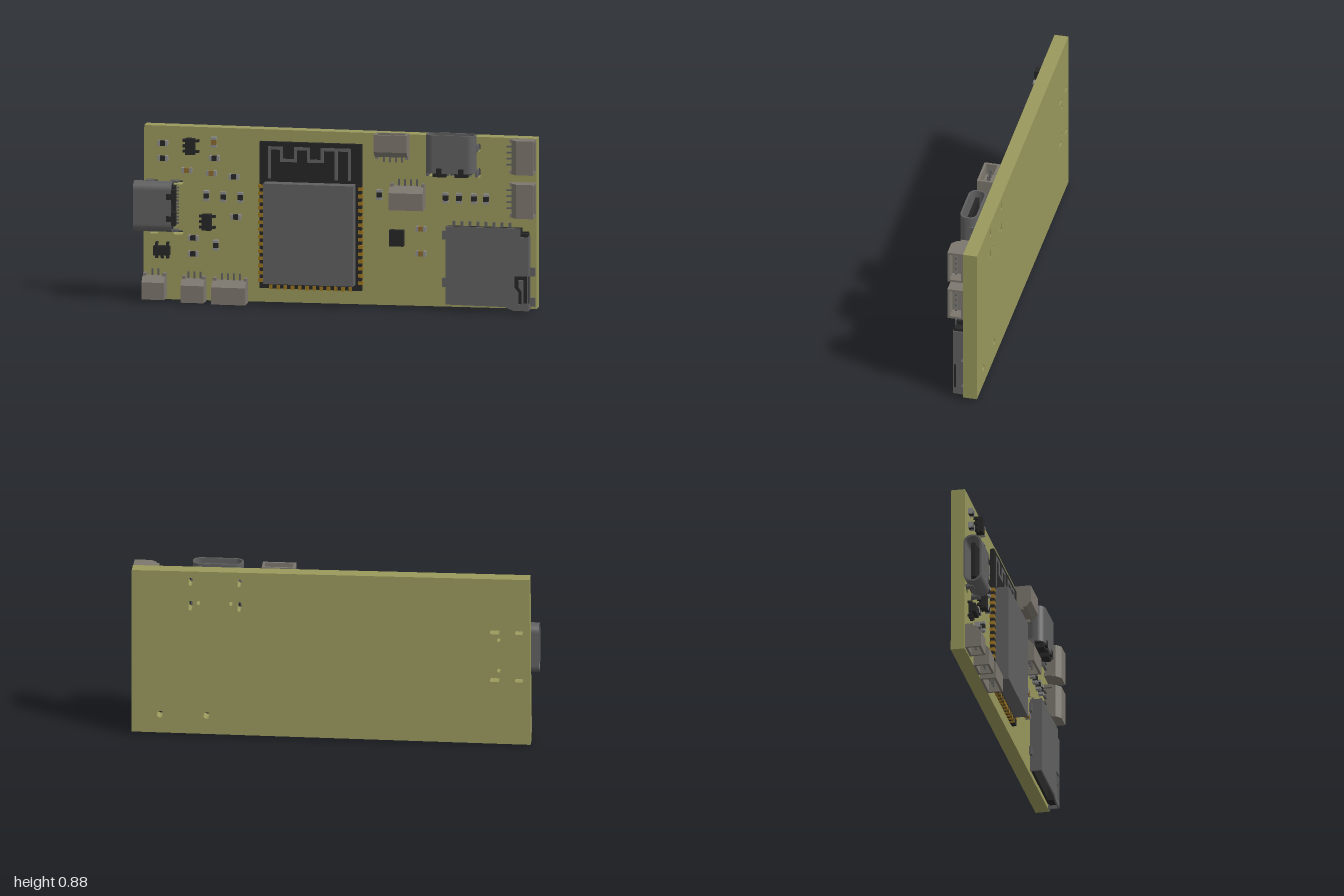
import * as THREE from 'three';

const mat = (color) => new THREE.MeshStandardMaterial({ color, flatShading: true });
const M = {
  board: mat(0x98985c), metal: mat(0x606060), black: mat(0x262626),
  plastic: mat(0x7c776e), gold: mat(0x9a7420), brown: mat(0x8a6a30), grey: mat(0x8c8c8c),
};
const FACE = -0.01; // z of the board's front surface

function mesh(parent, name, geo, material) {
  const m = new THREE.Mesh(geo, material);
  m.name = name;
  parent.add(m);
  return m;
}
// box from its limits
function box(parent, name, material, x0, x1, y0, y1, z0, z1) {
  const g = new THREE.BoxGeometry(x1 - x0, y1 - y0, z1 - z0);
  g.translate((x0 + x1) / 2, (y0 + y1) / 2, (z0 + z1) / 2);
  return mesh(parent, name, g, material);
}
function group(parent, name, x = 0, y = 0, turn = 0) {
  const g = new THREE.Group();
  g.name = name;
  g.position.set(x, y, 0);
  g.rotation.z = turn;
  parent.add(g);
  return g;
}
const poly = (pts) => new THREE.Shape(pts.map(([x, y]) => new THREE.Vector2(x, y)));
const extrude = (shape, depth, curveSegments = 8) =>
  new THREE.ExtrudeGeometry(shape, { depth, bevelEnabled: false, curveSegments });
// shape in (x, z), swept along y from y0 to y1
const sweepY = (shape, y0, y1) => extrude(shape, y1 - y0).rotateX(Math.PI / 2).translate(0, y1, 0);

// rounded slot outline, h is the full height and r the corner radius
function rounded(C, x, y, w, h, r) {
  const s = new C(), a = w / 2 - r, b = h / 2 - r;
  s.absarc(x + a, y + b, r, 0, Math.PI / 2);
  s.absarc(x - a, y + b, r, Math.PI / 2, Math.PI);
  s.absarc(x - a, y - b, r, Math.PI, 1.5 * Math.PI);
  s.absarc(x + a, y - b, r, 1.5 * Math.PI, 2 * Math.PI);
  s.closePath();
  return s;
}

function addBoard(root) {
  const s = poly([[-0.965, 0.005], [1, 0.015], [1, 0.863], [-0.96, 0.87]]);
  const holes = [ // x, y, width, height
    [0.71, 0.81, 0.02, 0.042], [0.71, 0.685, 0.02, 0.05], [0.47, 0.81, 0.02, 0.042], [0.47, 0.685, 0.02, 0.05],
    [0.67, 0.7, 0.02, 0.02], [0.51, 0.7, 0.02, 0.02], [-0.79, 0.59, 0.05, 0.02], [-0.91, 0.59, 0.042, 0.02],
    [-0.79, 0.34, 0.05, 0.02], [-0.91, 0.34, 0.042, 0.02], [-0.81, 0.55, 0.02, 0.02], [-0.81, 0.39, 0.02, 0.02],
    [0.86, 0.11, 0.034, 0.034], [0.63, 0.11, 0.034, 0.034],
  ];
  for (const [x, y, w, h] of holes) s.holes.push(rounded(THREE.Path, x, y, w, h, Math.min(w, h) / 2 - 0.0005));
  mesh(root, 'circuitBoard', extrude(s, 0.07, 4).translate(0, 0, -0.08), M.board);
}

function addRadioModule(root) {
  const g = group(root, 'radioModule');
  box(g, 'modulePlate', M.black, -0.38, 0.13, 0.08, 0.81, FACE, 0.012);
  box(g, 'shieldCan', M.metal, -0.35, 0.10, 0.112, 0.612, 0.012, 0.078);
  // antenna trace as a chain of thin strips
  const path = [[-0.33, 0.635], [-0.33, 0.78], [-0.27, 0.78], [-0.27, 0.72], [-0.2, 0.72], [-0.2, 0.78],
    [-0.135, 0.78], [-0.135, 0.72], [-0.067, 0.72], [-0.067, 0.78], [0.07, 0.78], [0.07, 0.635]];
  const strip = ([ax, ay], [bx, by]) => box(g, 'antennaTrace', M.metal, Math.min(ax, bx) - 0.008,
    Math.max(ax, bx) + 0.008, Math.min(ay, by) - 0.008, Math.max(ay, by) + 0.008, 0.01, 0.014);
  for (let i = 1; i < path.length; i++) strip(path[i - 1], path[i]);
  strip([0.003, 0.635], [0.003, 0.78]);
  // edge pads
  for (let i = 0; i < 14; i++) {
    const y = 0.12 + i * 0.036;
    box(g, 'edgePad', M.gold, -0.386, -0.362, y - 0.009, y + 0.009, FACE, 0.014);
    box(g, 'edgePad', M.gold, 0.112, 0.136, y - 0.009, y + 0.009, FACE, 0.014);
  }
  for (let i = 0; i < 12; i++) {
    const x = -0.323 + i * 0.036;
    box(g, 'edgePad', M.gold, x - 0.009, x + 0.009, 0.076, 0.098, FACE, 0.014);
  }
}

// oval port, mouth at local y = 0 facing -y
function addOvalPort(root, x, y, turn) {
  const g = group(root, 'ovalPort', x, y, turn), d = 0.19, zc = 0.036;
  const shell = rounded(THREE.Shape, 0, zc, 0.25, 0.09, 0.04);
  shell.holes.push(rounded(THREE.Path, 0, zc, 0.232, 0.072, 0.032));
  mesh(g, 'portShell', sweepY(shell, 0, d), M.metal);
  mesh(g, 'portBack', sweepY(rounded(THREE.Shape, 0, zc, 0.233, 0.073, 0.032), 0.14, d - 0.002), M.black);
  box(g, 'portTongue', M.black, -0.09, 0.09, 0.02, 0.15, 0.026, 0.046);
  box(g, 'portBase', M.black, -0.1, 0.1, 0.15, 0.2, FACE, 0.03);
  for (const s of [-1, 1]) {
    const a = s * 0.055;
    box(g, 'rearLatch', M.black, a - 0.032, a + 0.032, d - 0.004, 0.21, 0.035, 0.07);
    box(g, 'latchWindow', M.black, a - 0.014, a + 0.014, 0.165, 0.195, 0.06, 0.0825);
    for (const ly of [0.07, 0.195]) box(g, 'shellLeg', M.metal, s * 0.122 - 0.006, s * 0.122 + 0.006, ly - 0.018, ly + 0.018, -0.03, 0.03);
  }
  for (let i = 0; i < 12; i++) {
    const px = -0.088 + i * 0.016;
    box(g, 'portPin', M.metal, px - 0.004, px + 0.004, 0.19, 0.214, FACE, -0.003);
  }
}

// wire socket, mouth at local y = 0 facing -y
function addSocket(root, x, y, turn, w, pins) {
  const g = group(root, 'wireSocket', x, y, turn), h = w / 2, t = 0.012, top = 0.07;
  const wall = poly([[-h, FACE], [h, FACE], [h, top], [-h, top]]);
  wall.holes.push(poly([[-h + t, FACE + t], [-h + t, top - t], [h - t, top - t], [h - t, FACE + t]]));
  mesh(g, 'socketWall', sweepY(wall, 0, 0.07), M.plastic);
  // rear block with a sloped shoulder, profile in (z, y) turned to run along x
  const rear = poly([[FACE, 0.06], [top, 0.06], [top, 0.085], [0.045, 0.112], [FACE, 0.112]]);
  const geo = extrude(rear, w);
  geo.applyMatrix4(new THREE.Matrix4().set(0, 0, 1, -h, 0, 1, 0, 0, 1, 0, 0, 0, 0, 0, 0, 1));
  // the axis swap mirrors the solid, so turn each face over
  const p = geo.attributes.position;
  for (let i = 0; i < p.count; i += 3) {
    const a = new THREE.Vector3().fromBufferAttribute(p, i), b = new THREE.Vector3().fromBufferAttribute(p, i + 2);
    p.setXYZ(i, b.x, b.y, b.z);
    p.setXYZ(i + 2, a.x, a.y, a.z);
  }
  geo.computeVertexNormals();
  mesh(g, 'socketRear', geo, M.plastic);
  for (const s of [-1, 1]) box(g, 'socketEar', M.plastic, s * (h - 0.008) - 0.008, s * (h - 0.008) + 0.008, 0.1, 0.126, FACE, 0.03);
  for (let i = 0; i < pins; i++) {
    const px = (i - (pins - 1) / 2) * 0.03;
    box(g, 'socketPin', M.metal, px - 0.004, px + 0.004, 0.015, 0.07, 0.026, 0.034);
    box(g, 'socketLead', M.metal, px - 0.004, px + 0.004, 0.105, 0.145, FACE, 0.002);
  }
}

function addCardSlot(root) {
  const g = group(root, 'cardSlot');
  const cover = poly([[0.555, 0.033], [0.85, 0.03], [0.895, 0.012], [0.97, 0.012], [0.97, 0.38], [0.93, 0.38], [0.93, 0.423], [0.555, 0.423]]);
  cover.holes.push(poly([[0.9, 0.185], [0.965, 0.185], [0.965, 0.05], [0.945, 0.05], [0.945, 0.165],
    [0.92, 0.165], [0.92, 0.13], [0.935, 0.11], [0.935, 0.045], [0.92, 0.045], [0.92, 0.1], [0.9, 0.125]]));
  mesh(g, 'slotCover', extrude(cover, 0.008).translate(0, 0, 0.04), M.metal);
  box(g, 'leftWall', M.metal, 0.555, 0.563, 0.033, 0.42, FACE, 0.041);
  box(g, 'rightWall', M.metal, 0.962, 0.97, 0.012, 0.38, FACE, 0.041);
  box(g, 'wallSlit', M.black, 0.965, 0.972, 0.05, 0.185, 0.033, 0.043);
  box(g, 'slotFloor', M.black, 0.563, 0.962, 0.04, 0.4, FACE, 0.002);
  box(g, 'slotRear', M.black, 0.56, 0.93, 0.36, 0.418, FACE, 0.04);
  box(g, 'slotCorner', M.black, 0.92, 0.965, 0.35, 0.395, FACE, 0.043);
  box(g, 'ejectSlider', M.black, 0.9, 0.962, 0.03, 0.36, 0, 0.034);
  for (const [x0, x1, y] of [[0.53, 0.56, 0.135], [0.53, 0.56, 0.37], [0.965, 0.995, 0.05], [0.965, 0.995, 0.2]])
    box(g, 'solderTab', M.metal, x0, x1, y - 0.022, y + 0.022, FACE, 0.002);
  for (let i = 0; i < 8; i++) box(g, 'slotContact', M.metal, 0.582 + i * 0.04, 0.594 + i * 0.04, 0.41, 0.442, FACE, 0);
}

// two-terminal part: dark or brown middle with pale ends
function addPassive(root, x, y, upright, middle) {
  const g = group(root, 'smallPart', x, y, upright ? Math.PI / 2 : 0);
  box(g, 'partBody', middle, -0.014, 0.014, -0.012, 0.012, FACE, 0.013);
  for (const s of [-1, 1]) box(g, 'partEnd', M.grey, s * 0.019 - 0.006, s * 0.019 + 0.006, -0.0135, 0.0135, FACE, 0.0145);
}

function addSmallChip(root, x, y, turn) {
  const g = group(root, 'smallChip', x, y, turn);
  box(g, 'chipBody', M.black, -0.023, 0.023, -0.04, 0.04, -0.004, 0.032);
  for (const s of [-1, 1]) for (const ly of s < 0 ? [-0.027, 0, 0.027] : [-0.027, 0.027]) {
    box(g, 'chipLeg', M.black, s * 0.03 - 0.009, s * 0.03 + 0.009, ly - 0.006, ly + 0.006, -0.002, 0.012);
    box(g, 'chipFoot', M.black, s * 0.036 - 0.005, s * 0.036 + 0.005, ly - 0.006, ly + 0.006, FACE, 0.004);
  }
}

export function createModel() {
  const root = new THREE.Group();
  root.name = 'circuitBoardAssembly';
  const H = Math.PI / 2;
  addBoard(root);
  addRadioModule(root);
  addOvalPort(root, -1, 0.476, -H);
  addOvalPort(root, 0.583, 0.88, 2 * H);
  addCardSlot(root);
  // x, y, turn, width, pin count
  for (const s of [[0.283, 0.87, 2 * H, 0.165, 4], [0.36, 0.498, 0, 0.17, 4], [0.998, 0.777, H, 0.17, 4], [0.998, 0.56, H, 0.17, 4],
    [-0.903, 0.014, 0, 0.112, 2], [-0.707, 0.004, 0, 0.115, 3], [-0.526, 0, 0, 0.17, 4]]) addSocket(root, ...s);
  for (const c of [[-0.725, 0.775, 0], [-0.643, 0.4, 0], [-0.868, 0.252, H]]) addSmallChip(root, ...c);
  box(root, 'squareChip', M.black, 0.27, 0.34, 0.31, 0.39, FACE, 0.025);
  const flat = [[-0.865, 0.785], [-0.865, 0.71], [-0.607, 0.718], [-0.51, 0.628], [-0.5, 0.428], [-0.713, 0.317], [-0.713, 0.238]];
  const upright = [[-0.648, 0.53], [-0.563, 0.527], [-0.478, 0.527], [-0.6, 0.285], [0.217, 0.562], [0.547, 0.557],
    [0.615, 0.557], [0.69, 0.557], [0.75, 0.557]];
  for (const [x, y] of flat) addPassive(root, x, y, false, M.black);
  for (const [x, y] of upright) addPassive(root, x, y, true, M.black);
  for (const [x, y] of [[-0.745, 0.653], [-0.622, 0.643], [0.425, 0.398], [0.425, 0.275]]) addPassive(root, x, y, false, M.brown);
  addPassive(root, -0.61, 0.798, true, M.brown);
  return root;
}
